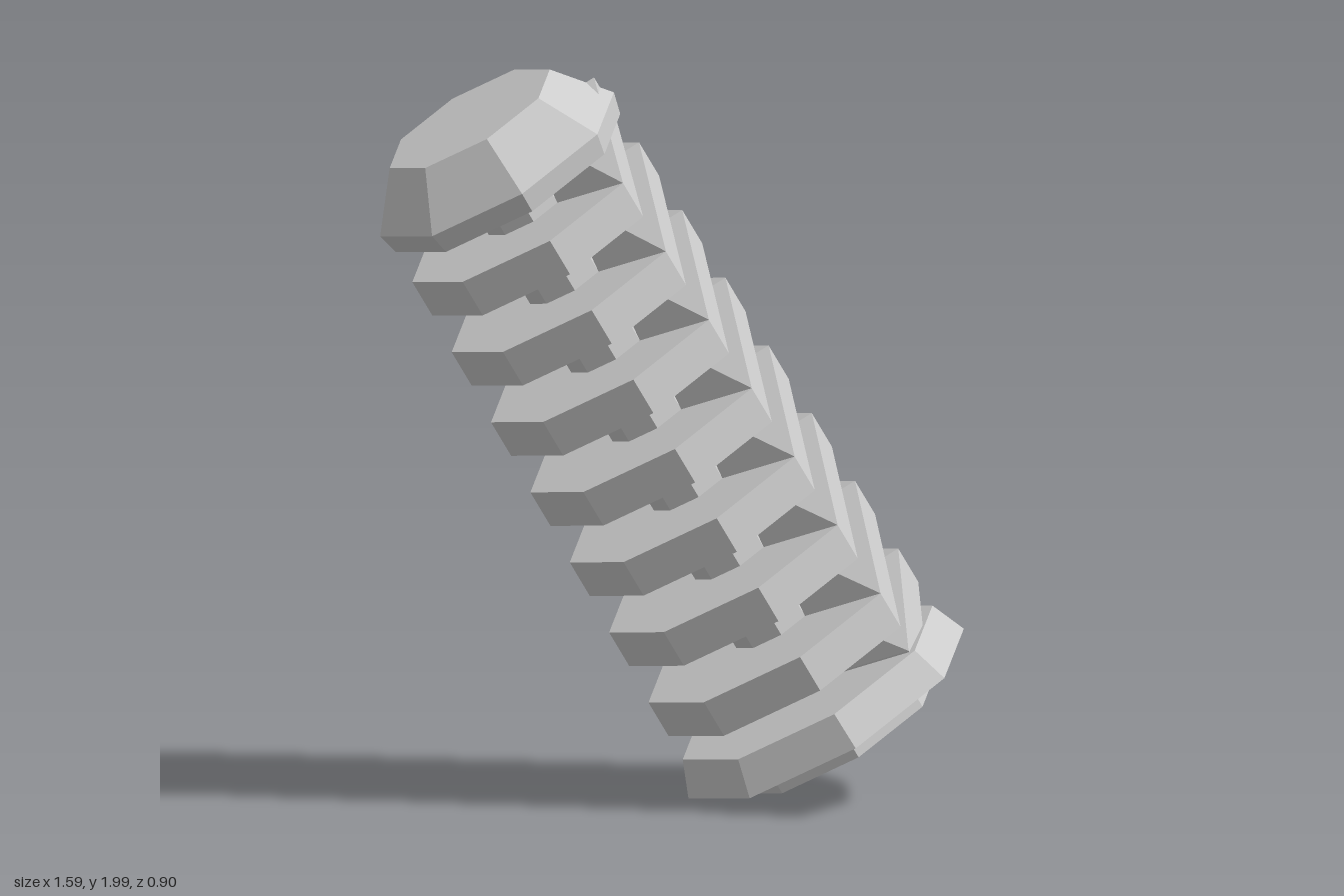
import * as THREE from 'three';

const SIDES = 8, TURNS = 7, PITCH = 0.222, FIRST = 0.29;
const CORE = 0.115, HALF = 0.054;

const material = () => new THREE.MeshStandardMaterial({ color: 0xcccccc, flatShading: true });

// Eight-sided solid of revolution, profile given as [radius, height] from bottom to top
function turned(name, profile) {
  const points = profile.map(([r, y]) => new THREE.Vector2(r, y));
  const mesh = new THREE.Mesh(new THREE.LatheGeometry(points, SIDES), material());
  mesh.name = name;
  return mesh;
}

// Corners of the rectangular thread section at one angle
function section(angle, y, radius) {
  return [[radius, -HALF], [radius, HALF], [CORE * 0.8, HALF], [CORE * 0.8, -HALF]]
    .map(([r, dy]) => [r * Math.cos(angle), y + dy, r * Math.sin(angle)]);
}

// Thread: each turn lies flat and steps up to the next one across a single side
function threadGeometry() {
  const step = (Math.PI * 2) / SIDES;
  const sections = [section(step, 0.11, 0.37)];
  for (let k = 0; k < TURNS; k++) {
    const radius = 0.39 - 0.006 * k;
    for (let i = 0; i < SIDES; i++) sections.push(section(-i * step, FIRST + k * PITCH, radius));
  }
  sections.push(section(0, 1.84, 0.34));

  const positions = [];
  const quad = (a, b, c, d) => positions.push(...a, ...b, ...c, ...a, ...c, ...d);
  for (let i = 0; i < sections.length - 1; i++) {
    const p = sections[i], q = sections[i + 1];
    for (let j = 0; j < 4; j++) {
      const n = (j + 1) % 4;
      quad(p[j], q[j], q[n], p[n]);
    }
  }
  // End faces
  const s = sections[0], e = sections[sections.length - 1];
  quad(s[0], s[1], s[2], s[3]);
  quad(e[3], e[2], e[1], e[0]);

  const geometry = new THREE.BufferGeometry();
  geometry.setAttribute('position', new THREE.Float32BufferAttribute(positions, 3));
  geometry.computeVertexNormals();
  return geometry;
}

export function createModel() {
  const model = new THREE.Group();
  model.name = 'threadedRod';

  // Everything is built upright, then leaned over along the axis
  const body = new THREE.Group();
  body.name = 'leaningBody';
  model.add(body);

  const rod = turned('coreRod', [[CORE, 0.1], [CORE, 1.85]]);
  const base = turned('baseCap', [[0, 0], [0.31, 0], [0.31, 0.05], [0.43, 0.06], [0.39, 0.16], [0, 0.16]]);
  const head = turned('headCap', [[0, 1.79], [0.35, 1.77], [0.365, 1.83], [0.25, 1.977], [0, 1.977]]);
  const thread = new THREE.Mesh(threadGeometry(), material());
  thread.name = 'thread';
  thread.material.side = THREE.DoubleSide;
  body.add(rod, base, head, thread);

  const foot = new THREE.Vector3(0.455, 0.18, -0.02);
  const top = new THREE.Vector3(-0.555, 1.875, 0.1);
  const axis = top.clone().sub(foot).normalize();
  body.quaternion.setFromUnitVectors(new THREE.Vector3(0, 1, 0), axis);
  body.position.copy(foot);
  return model;
}
